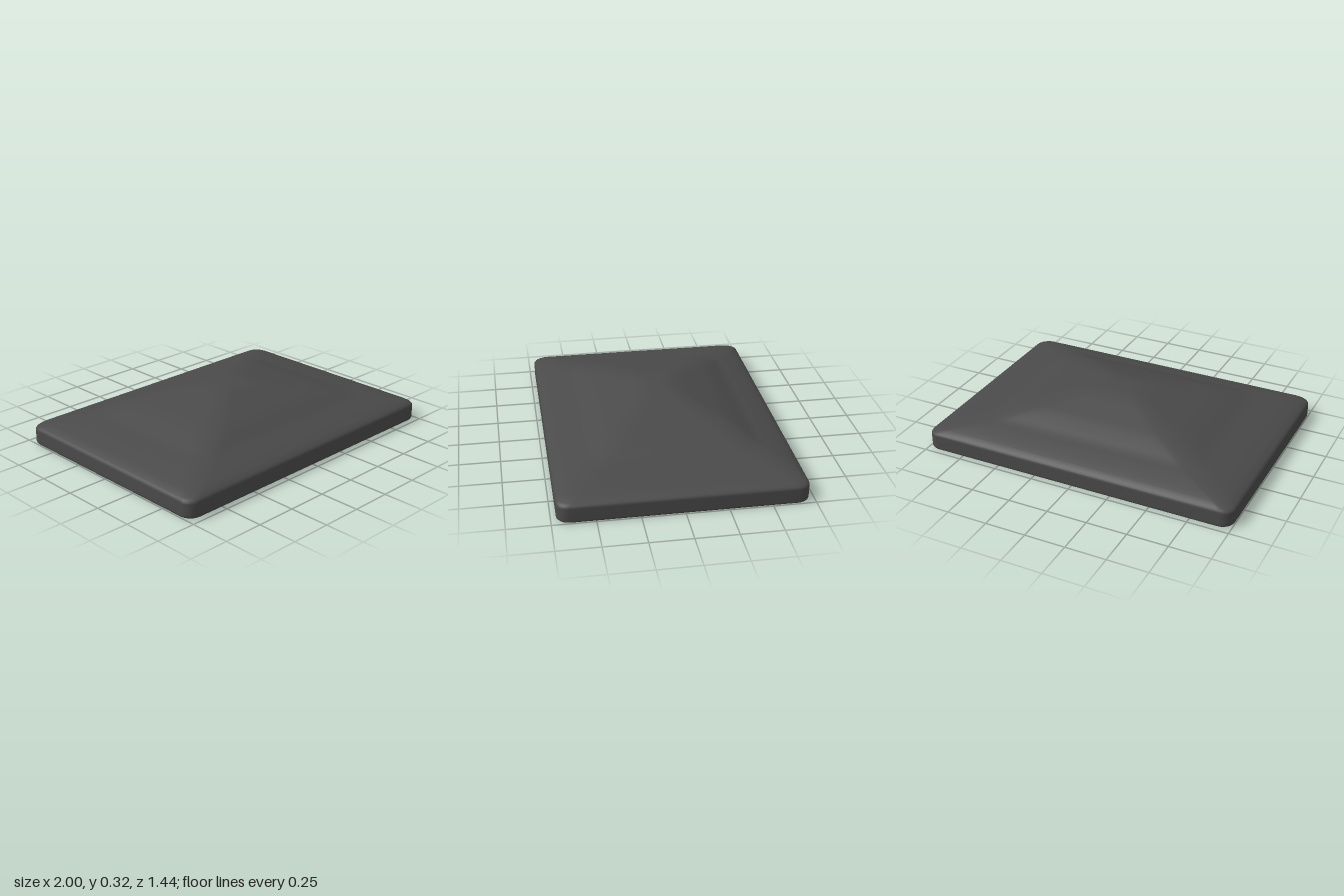
import * as THREE from 'three';
import { mergeVertices } from 'three/addons/utils/BufferGeometryUtils.js';

const HALF_X = 1, HALF_Z = 0.72;

// Rounded rectangle ring at scale t; corners soften towards the middle
function ring(t, y) {
  const a = HALF_X * t, b = HALF_Z * t;
  const r = b * (0.1 + 0.5 * (1 - t));
  const pts = [];
  const corners = [[1, 1], [-1, 1], [-1, -1], [1, -1]];
  const arc = 6, side = 14;
  corners.forEach(([sx, sz], k) => {
    const cx = sx * (a - r), cz = sz * (b - r);
    for (let i = 0; i <= arc; i++) {
      const ang = (k + i / arc) * Math.PI / 2;
      pts.push([cx + r * Math.cos(ang), y, cz + r * Math.sin(ang)]);
    }
    // straight run to the start of the next corner
    const [nx, nz] = corners[(k + 1) % 4];
    const end = (k + 1) * Math.PI / 2;
    const from = pts[pts.length - 1];
    const to = [nx * (a - r) + r * Math.cos(end), nz * (b - r) + r * Math.sin(end)];
    for (let i = 1; i < side; i++) {
      const u = i / side;
      pts.push([from[0] + (to[0] - from[0]) * u, y, from[2] + (to[1] - from[2]) * u]);
    }
  });
  return pts;
}

// Closed surface through a list of [scale, height] rings
function loft(profile) {
  const rings = profile.map(([t, y]) => ring(t, y));
  const n = rings[0].length, index = [];
  for (let i = 0; i < rings.length - 1; i++) {
    for (let j = 0; j < n; j++) {
      const a = i * n + j, b = i * n + (j + 1) % n;
      index.push(a, a + n, b, b, a + n, b + n);
    }
  }
  const geo = new THREE.BufferGeometry();
  geo.setAttribute('position', new THREE.Float32BufferAttribute(rings.flat(2), 3));
  geo.setIndex(index);
  const merged = mergeVertices(geo, 1e-5);
  merged.computeVertexNormals();
  return merged;
}

export function createModel() {
  const group = new THREE.Group();
  group.name = 'hippedRoof';

  // Slope from the peak to the eave
  const slope = new THREE.CatmullRomCurve3([
    [0, 0.325], [0.1, 0.323], [0.2, 0.31], [0.4, 0.267], [0.5, 0.245], [0.6, 0.216],
    [0.7, 0.185], [0.8, 0.165], [0.9, 0.142], [0.95, 0.128],
  ].map(([t, y]) => new THREE.Vector3(t, y, 0)));
  const top = slope.getPoints(30).map((p) => [p.x, p.y]);
  top[0][0] = 0;

  // Underside follows the slope, then the rim and upright edge, then the top
  const under = top.map(([t, y]) => [t, Math.max(0.002, y - 0.126)]);
  const edge = [
    [0.972, 0], [0.982, 0], [0.995, 0.004], [0.999, 0.01], [1, 0.018],
    [1, 0.09], [0.999, 0.098], [0.993, 0.107], [0.98, 0.116],
  ];
  const profile = [...under, ...edge, ...top.slice().reverse()];

  const roof = new THREE.Mesh(
    loft(profile),
    new THREE.MeshStandardMaterial({ color: 0x4a4a4a }),
  );
  roof.name = 'roofSlab';
  group.add(roof);
  return group;
}
